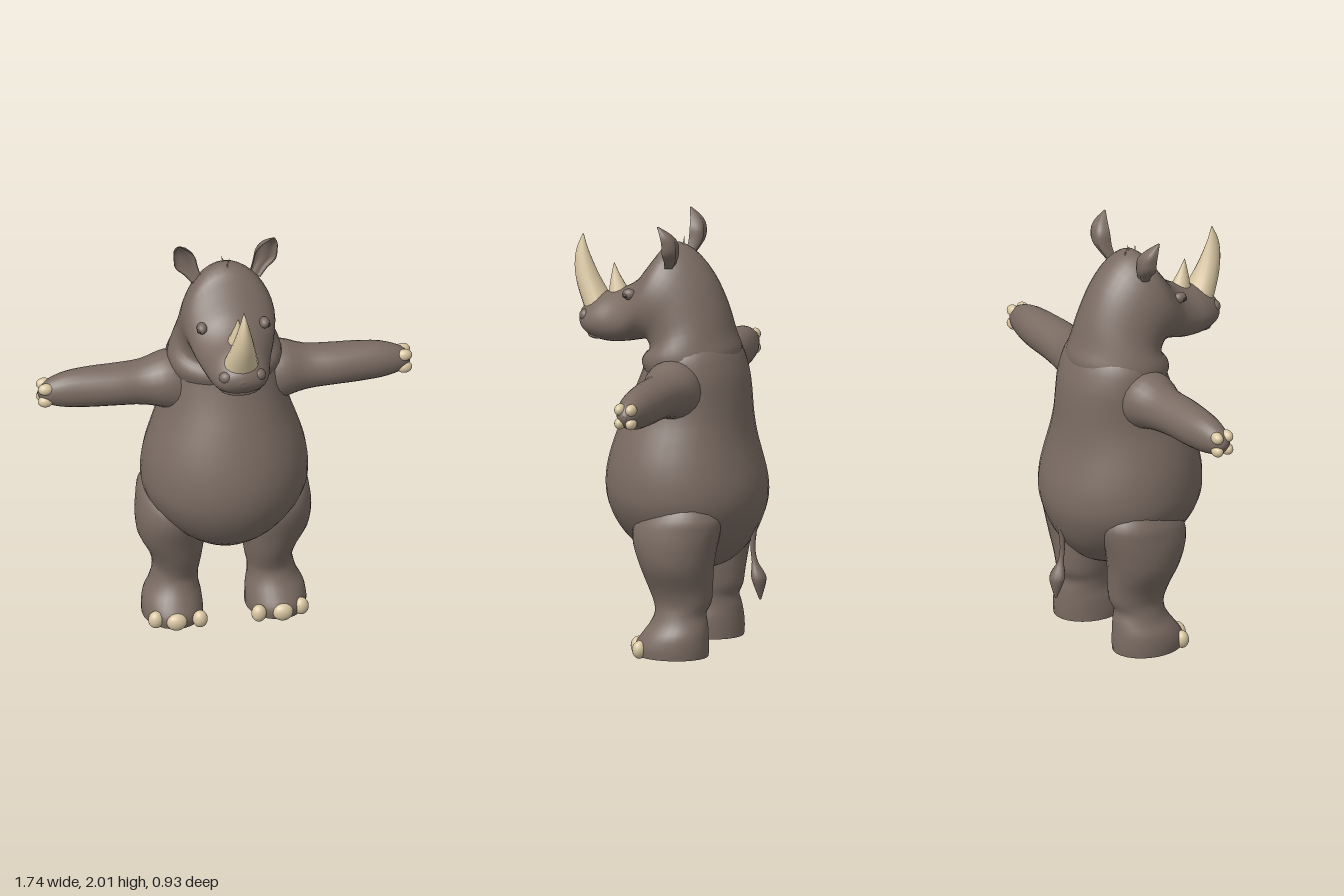
import * as THREE from 'three';

const mat = (name, color) => {
  const m = new THREE.MeshStandardMaterial({ color });
  m.name = name;
  return m;
};

// Smooth interpolation between rows of numbers
function refine(rows, steps) {
  const out = [];
  for (let i = 0; i < rows.length - 1; i++) {
    const a = rows[Math.max(i - 1, 0)], b = rows[i], c = rows[i + 1];
    const d = rows[Math.min(i + 2, rows.length - 1)];
    for (let k = 0; k < steps; k++) {
      const t = k / steps, t2 = t * t, t3 = t2 * t;
      out.push(b.map((_, j) => 0.5 * (2 * b[j] + (c[j] - a[j]) * t +
        (2 * a[j] - 5 * b[j] + 4 * c[j] - d[j]) * t2 +
        (3 * b[j] - a[j] - 3 * c[j] + d[j]) * t3)));
    }
  }
  out.push(rows[rows.length - 1]);
  return out;
}

// Closed skin over cross-sections; place(row, cos, sin) gives a point
function loft(rows, place, sides = 28, steps = 3) {
  const rings = refine(rows, steps).map(r => Array.from({ length: sides }, (_, k) => {
    const a = (k / sides) * Math.PI * 2;
    return place(r, Math.cos(a), Math.sin(a));
  }));
  const pos = rings.flat(2), idx = [];
  for (let i = 0; i < rings.length - 1; i++) {
    for (let k = 0; k < sides; k++) {
      const a = i * sides + k, b = i * sides + (k + 1) % sides;
      idx.push(a, a + sides, b, b, a + sides, b + sides);
    }
  }
  // Flat end caps with their own vertices
  [[rings[0], false], [rings[rings.length - 1], true]].forEach(([ring, end]) => {
    const base = pos.length / 3;
    pos.push(...ring.flat());
    pos.push(...[0, 1, 2].map(j => ring.reduce((s, p) => s + p[j], 0) / sides));
    for (let k = 0; k < sides; k++) {
      const a = base + k, b = base + (k + 1) % sides;
      idx.push(base + sides, ...(end ? [b, a] : [a, b]));
    }
  });
  // Turn the faces outward
  let volume = 0;
  const p = i => new THREE.Vector3().fromArray(pos, idx[i] * 3);
  for (let i = 0; i < idx.length; i += 3) volume += p(i).dot(p(i + 1).cross(p(i + 2)));
  if (volume < 0) idx.reverse();
  const g = new THREE.BufferGeometry();
  g.setAttribute('position', new THREE.Float32BufferAttribute(pos, 3));
  g.setIndex(idx);
  g.computeVertexNormals();
  return g;
}

const mid = (a, b, t) => (a + b) / 2 + (a - b) / 2 * t;
// Level section: y, front z, back z, outer x, inner x
const level = s => ([y, zf, zb, xo, xi], c, n) => [s * mid(xo, xi, c), y, mid(zf, zb, n)];
// Section across the arm: x, top y, bottom y, front z, back z
const across = s => ([x, yt, yb, zf, zb], c, n) => [s * x, mid(yt, yb, n), mid(zf, zb, c)];
// Tilted section on the centre line: top z, top y, bottom z, bottom y, half width
const tilted = taper => ([zt, yt, zb, yb, w], c, n) =>
  [w * c * (1 - taper * n), mid(yt, yb, n), mid(zt, zb, n)];

export function createModel() {
  const model = new THREE.Group();
  const skin = mat('greyBrownSkin', 0x7a6b62);
  const ivory = mat('ivory', 0xd8c6a2);
  const dark = mat('darkEye', 0x3a302b);
  const add = (name, geo, material) => {
    const m = new THREE.Mesh(geo, material);
    m.name = name;
    model.add(m);
    return m;
  };
  const ball = (name, material, at, size) => {
    const m = add(name, new THREE.SphereGeometry(1, 16, 12), material);
    m.position.set(...at);
    m.scale.set(...size);
    return m;
  };

  // Pear-shaped torso
  add('torso', loft([
    [0.37, -0.06, -0.20, 0.05], [0.41, 0.05, -0.29, 0.14], [0.5, 0.18, -0.38, 0.25],
    [0.6, 0.25, -0.43, 0.335], [0.7, 0.285, -0.455, 0.38], [0.8, 0.29, -0.45, 0.385],
    [0.9, 0.272, -0.425, 0.37], [1.0, 0.24, -0.40, 0.34], [1.1, 0.2, -0.387, 0.305],
    [1.2, 0.155, -0.38, 0.285], [1.3, 0.115, -0.365, 0.275], [1.4, 0.08, -0.33, 0.25],
    [1.46, 0.0, -0.29, 0.19],
  ].map(r => [...r, -r[3]]), level(1), 36), skin);

  // Neck, skull and muzzle in one sweep
  add('head', loft([
    [-0.33, 1.36, 0.09, 1.27, 0.25], [-0.335, 1.41, 0.115, 1.33, 0.262],
    [-0.308, 1.48, 0.105, 1.365, 0.255], [-0.27, 1.61, 0.08, 1.39, 0.225],
    [-0.2, 1.75, 0.09, 1.42, 0.215], [-0.1, 1.855, 0.105, 1.425, 0.215],
    [0, 1.88, 0.13, 1.42, 0.208], [0.08, 1.79, 0.17, 1.412, 0.192],
    [0.15, 1.7, 0.21, 1.405, 0.172], [0.23, 1.65, 0.27, 1.4, 0.152],
    [0.32, 1.625, 0.32, 1.405, 0.138], [0.385, 1.585, 0.375, 1.425, 0.115],
    [0.42, 1.55, 0.41, 1.455, 0.078], [0.432, 1.515, 0.428, 1.49, 0.02],
  ], tilted(0.14), 36), skin);
  ball('lowerLip', skin, [0, 1.433, 0.33], [0.1, 0.025, 0.065]);

  // Horns
  add('largeHorn', loft([
    [0.41, 1.54, 0.3, 1.61, 0.08], [0.45, 1.65, 0.335, 1.67, 0.06],
    [0.465, 1.74, 0.37, 1.74, 0.041], [0.457, 1.82, 0.403, 1.82, 0.02],
    [0.427, 1.888, 0.423, 1.888, 0.002],
  ], tilted(0), 16), ivory);
  add('smallHorn', loft([
    [0.3, 1.62, 0.205, 1.64, 0.045], [0.292, 1.68, 0.23, 1.68, 0.028],
    [0.285, 1.72, 0.252, 1.72, 0.014], [0.276, 1.762, 0.272, 1.762, 0.002],
  ], tilted(0), 12), ivory);

  // Wisps of hair on the crown
  [[-0.012, -0.06], [0.01, -0.03], [0, 0]].forEach(([x, z]) => {
    const wisp = add('crownHair', new THREE.ConeGeometry(0.006, 0.05, 5), ivory);
    wisp.position.set(x, 1.885, z);
    wisp.rotation.z = -x * 25;
  });

  // Tail with tuft: y, front z, back z, half width
  add('tail', loft([
    [0.76, -0.42, -0.455, 0.025], [0.68, -0.41, -0.45, 0.022], [0.58, -0.395, -0.425, 0.016],
    [0.48, -0.39, -0.413, 0.012], [0.41, -0.397, -0.425, 0.016], [0.35, -0.395, -0.46, 0.04],
    [0.31, -0.405, -0.462, 0.036], [0.235, -0.432, -0.442, 0.004],
  ].map(r => [...r, -r[3]]), level(1), 12), skin);

  for (const s of [1, -1]) {
    const side = s > 0 ? 'left' : 'right';

    // Leg and foot
    add(side + 'Leg', loft([
      [0, 0.075, -0.265, 0.38, 0.1], [0.045, 0.08, -0.268, 0.382, 0.1],
      [0.1, 0.045, -0.265, 0.372, 0.105], [0.15, 0.01, -0.26, 0.345, 0.115],
      [0.2, -0.01, -0.25, 0.33, 0.115], [0.25, 0, -0.272, 0.325, 0.105],
      [0.32, 0.025, -0.28, 0.345, 0.095], [0.42, 0.055, -0.29, 0.395, 0.085],
      [0.52, 0.085, -0.31, 0.408, 0.09], [0.6, 0.085, -0.33, 0.402, 0.09],
      [0.66, 0.04, -0.33, 0.39, 0.1], [0.73, -0.05, -0.28, 0.35, 0.14],
    ], level(s)), skin);
    [[0.137, 0.058, 0.035], [0.247, 0.068, 0.048], [0.338, 0.03, 0.036]].forEach(([x, z, r]) =>
      ball(side + 'Toenail', ivory, [s * x, 0.034, z], [r, 0.042, 0.033]));

    // Arm held straight out
    add(side + 'Arm', loft([
      [0.17, 1.37, 1.06, 0.03, -0.24], [0.27, 1.385, 1.11, 0.035, -0.235],
      [0.38, 1.352, 1.14, 0.01, -0.205], [0.5, 1.347, 1.153, 0.012, -0.192],
      [0.62, 1.345, 1.156, 0.003, -0.183], [0.73, 1.337, 1.163, -0.012, -0.165],
      [0.81, 1.312, 1.182, -0.03, -0.142], [0.85, 1.285, 1.205, -0.048, -0.12],
      [0.867, 1.255, 1.235, -0.075, -0.095],
    ], across(s), 24), skin);
    for (let k = 0; k < 4; k++) {
      const a = (k + 0.5) * Math.PI / 2;
      ball(side + 'Fingernail', ivory,
        [s * 0.836, 1.245 + Math.sin(a) * 0.045, -0.083 + Math.cos(a) * 0.038],
        [0.036, 0.028, 0.026]);
    }

    // Cupped ear: y, centre x, half width, depth
    add(side + 'Ear', loft([
      [1.79, 0.13, 0.03, 0.03], [1.83, 0.155, 0.037, 0.045], [1.87, 0.182, 0.052, 0.055],
      [1.92, 0.192, 0.05, 0.055], [1.96, 0.207, 0.034, 0.04], [2.0, 0.222, 0.004, 0.006],
    ], ([y, x, w, d], c, n) =>
      [s * (x + w * c), y, -0.012 - 0.03 * Math.abs(c) * (d / 0.055) + (n < 0 ? 1.5 * d * n : -0.8 * d * n)],
    16), skin);

    // Face details
    ball(side + 'Eyelid', skin, [s * 0.146, 1.655, 0.15], [0.024, 0.026, 0.032]);
    ball(side + 'Eye', dark, [s * 0.16, 1.65, 0.162], [0.012, 0.011, 0.015]);
    ball(side + 'Nostril', skin, [s * 0.075, 1.525, 0.385], [0.034, 0.03, 0.03]);
  }
  return model;
}
